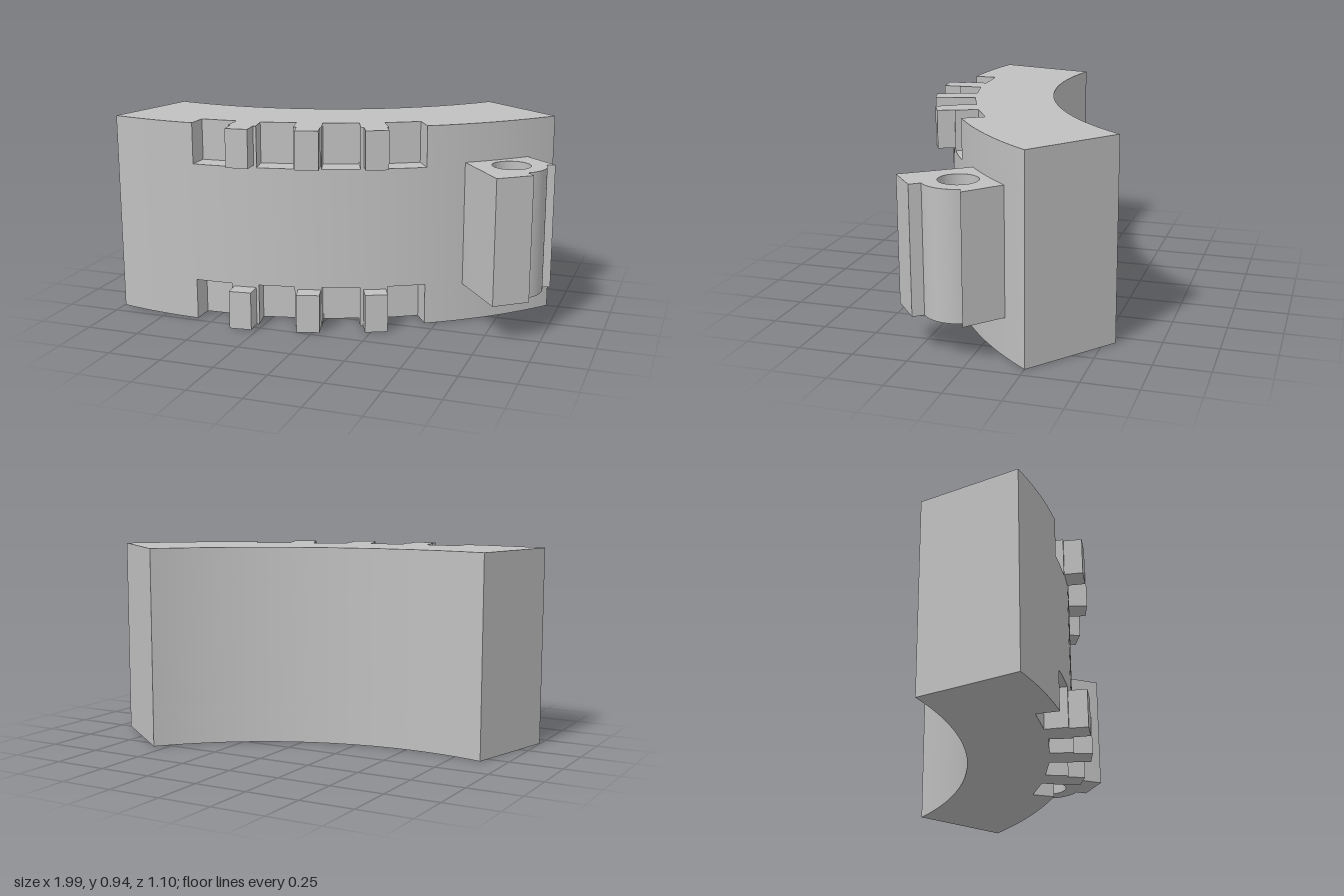
import * as THREE from 'three';
import { toCreasedNormals } from 'three/addons/utils/BufferGeometryUtils.js';

// Plan of the curved block: arc centre, radii and end angles (from +z towards +x)
const CX = -0.55, CZ = -1.436, INNER = 1.421, OUTER = 1.906;
const START = -0.237, END = 0.9;
const HEIGHT = 0.935, LOW = 0.19, LEDGE = 0.178;

// Notches: outer start, inner start, inner end, outer end, as [x, z]
const NOTCHES = [
  [[-0.58, 0.47], [-0.58, 0.365], [-0.41, 0.358], [-0.403, 0.464]],
  [[-0.273, 0.45], [-0.295, 0.349], [-0.133, 0.312], [-0.108, 0.418]],
  [[0.014, 0.384], [-0.017, 0.282], [0.138, 0.224], [0.179, 0.326]],
  [[0.295, 0.275], [0.245, 0.178], [0.39, 0.095], [0.448, 0.188]],
];

// Teeth: root left, tip left, tip right, root right
const TEETH = [
  [[-0.402, 0.37], [-0.381, 0.547], [-0.278, 0.535], [-0.295, 0.36]],
  [[-0.12, 0.32], [-0.07, 0.497], [0.031, 0.467], [-0.015, 0.295]],
  [[0.155, 0.235], [0.225, 0.395], [0.32, 0.35], [0.246, 0.188]],
];

const onArc = (a, r) => [CX + r * Math.sin(a), CZ + r * Math.cos(a)];
const angleOf = ([x, z]) => Math.atan2(x - CX, z - CZ);

function arc(a0, a1, r) {
  const n = Math.max(2, Math.ceil(Math.abs(a1 - a0) / 0.025));
  return Array.from({ length: n + 1 }, (_, i) => onArc(a0 + (a1 - a0) * i / n, r));
}

// Plan of the block, with any notches cut into its outer curve
function blockPlan(notches) {
  const pts = [];
  let a = START;
  for (const [p0, p1, p2, p3] of notches) {
    pts.push(...arc(a, angleOf(p0), OUTER), p1, p2);
    a = angleOf(p3);
  }
  return [...pts, ...arc(a, END, OUTER), ...arc(END, START, INNER)];
}

// Stand a plan of [x, z] points up between two heights
function prism(name, plan, y0, y1, material, hole) {
  const shape = new THREE.Shape(plan.map(([x, z]) => new THREE.Vector2(x, -z)));
  if (hole) shape.holes.push(hole);
  const geo = new THREE.ExtrudeGeometry(shape, { depth: y1 - y0, bevelEnabled: false, curveSegments: 40 });
  geo.rotateX(-Math.PI / 2);
  geo.translate(0, y0, 0);
  const mesh = new THREE.Mesh(toCreasedNormals(geo, 0.4), material);
  mesh.name = name;
  return mesh;
}

export function createModel() {
  const group = new THREE.Group();
  group.name = 'curvedBracket';
  const grey = new THREE.MeshStandardMaterial({ color: 0xc0c0c0 });
  grey.name = 'grey';

  // Plain middle of the block
  group.add(prism('middleBlock', blockPlan([]), LOW, HEIGHT - LOW, grey));

  // Notched bands and their projecting teeth, bottom and top
  const notched = blockPlan(NOTCHES);
  for (const top of [false, true]) {
    const side = top ? 'top' : 'bottom';
    const span = h => (top ? [HEIGHT - h, HEIGHT] : [0, h]);
    group.add(prism(side + 'NotchedBand', notched, ...span(LOW), grey));
    TEETH.forEach((t, i) => group.add(prism(`${side}Tooth${i + 1}`, t, ...span(LEDGE), grey)));
  }

  // Hinge lug with a rounded nose and a pin hole
  const px = 0.81, pz = 0.075, noseR = 0.16;
  const nose = Array.from({ length: 17 }, (_, i) => {
    const a = 0.67 + (1.97 - 0.67) * i / 16;
    return [px + noseR * Math.sin(a), pz + noseR * Math.cos(a)];
  });
  const lug = [[0.59, 0.07], [0.6, 0.085], [0.803, 0.356], [0.943, 0.244], ...nose,
    [0.995, 0], [0.84, -0.137], [0.82, -0.155]];
  const hole = new THREE.Path().absarc(px, -pz, 0.088, 0, Math.PI * 2, true);
  group.add(prism('hingeLug', lug, LEDGE, HEIGHT - LEDGE, grey, hole));

  return group;
}
